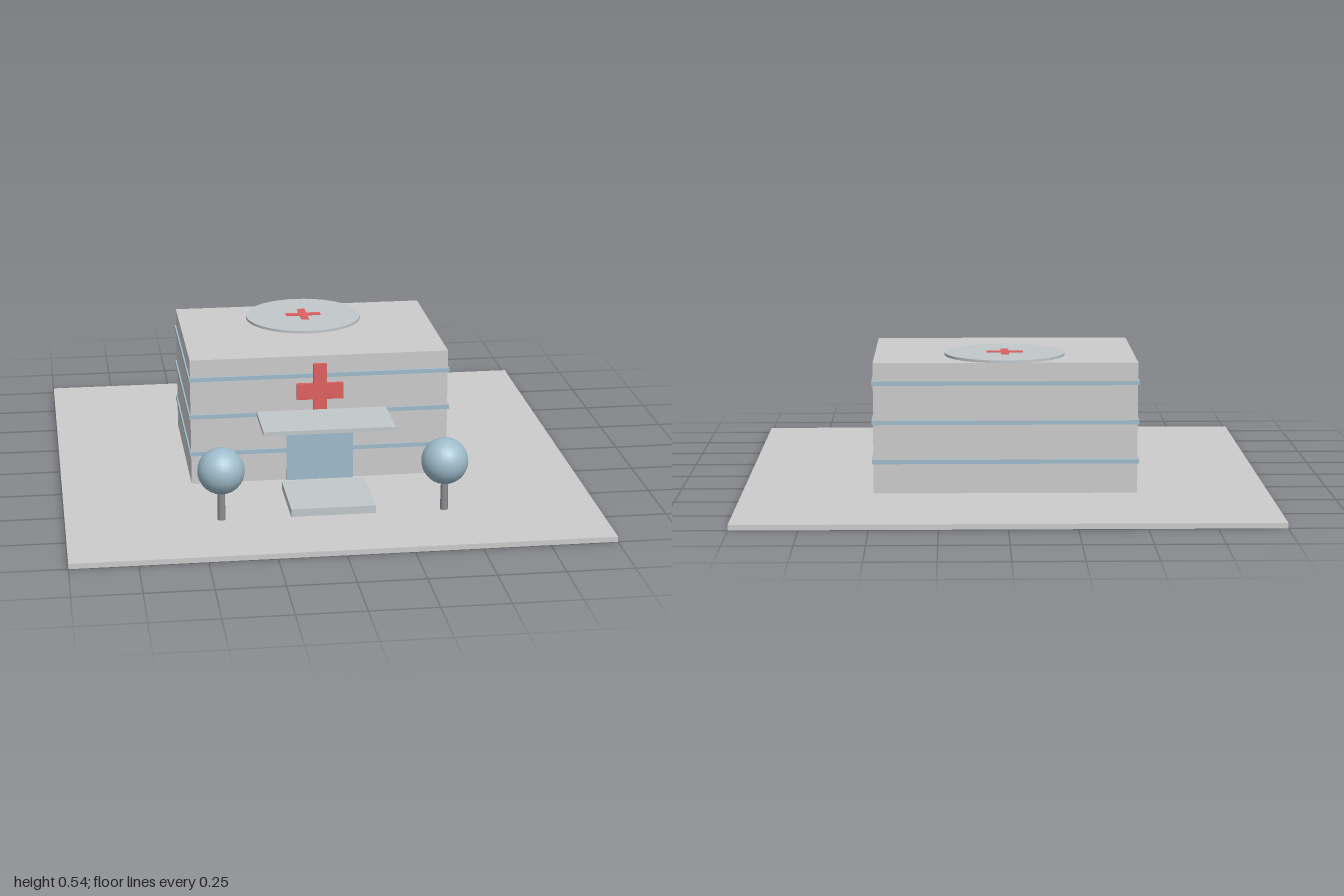
import * as THREE from 'three';

const mat = (color) => new THREE.MeshStandardMaterial({ color });

export function createModel() {
  const model = new THREE.Group();
  const ground = mat(0xcccccc), wall = mat(0xf0f2f3), slab = mat(0xc2c7cb);
  const blue = mat(0x9fbccb), red = mat(0xdf5f5f), bark = mat(0x8a8d90);

  const add = (name, geometry, material, x, y, z, parent = model) => {
    const mesh = new THREE.Mesh(geometry, material);
    mesh.name = name;
    mesh.position.set(x, y, z);
    parent.add(mesh);
    return mesh;
  };
  // Box given by its ranges along each axis
  const box = (name, material, [x0, x1], [y0, y1], [z0, z1]) =>
    add(name, new THREE.BoxGeometry(x1 - x0, y1 - y0, z1 - z0), material,
      (x0 + x1) / 2, (y0 + y1) / 2, (z0 + z1) / 2);

  // Extruded plus sign, facing +z
  const plus = (reach, half, depth) => {
    const a = reach, b = half;
    const shape = new THREE.Shape([
      [b, -a], [b, -b], [a, -b], [a, b], [b, b], [b, a],
      [-b, a], [-b, b], [-a, b], [-a, -b], [-b, -b], [-b, -a],
    ].map(([x, y]) => new THREE.Vector2(x, y)));
    return new THREE.ExtrudeGeometry(shape, { depth, bevelEnabled: false });
  };

  // Site and main block
  box('ground', ground, [-1, 1], [0, 0.02], [-1, 1]);
  box('building', wall, [-0.5, 0.5], [0.02, 0.52], [-0.45, 0.25]);

  // Window bands wrapping each storey
  for (const y of [0.142, 0.292, 0.442]) {
    box('windowBand', blue, [-0.506, 0.506], [y - 0.008, y + 0.008], [-0.456, 0.256]);
  }

  // Entrance
  box('door', blue, [-0.13, 0.13], [0.02, 0.24], [0.24, 0.26]);
  box('canopy', slab, [-0.25, 0.25], [0.305, 0.32], [0.3, 0.54]);
  box('entranceStep', slab, [-0.16, 0.16], [0.02, 0.05], [0.35, 0.65]);
  const sign = add('wallCross', plus(0.09, 0.026, 0.025), red, 0, 0.38, 0.24);
  sign.scale.y = 1.22;

  // Landing pad on the roof
  add('landingPad', new THREE.CylinderGeometry(0.23, 0.23, 0.01, 48), slab, 0, 0.529, -0.26);
  const padCross = add('padCross', plus(0.07, 0.015, 0.005), red, 0, 0.533, -0.26);
  padCross.rotation.x = -Math.PI / 2;

  // Trees either side of the entrance
  for (const side of [-1, 1]) {
    const tree = new THREE.Group();
    tree.name = side > 0 ? 'leftTree' : 'rightTree';
    tree.position.set(side * 0.42, 0.02, 0.64);
    add('trunk', new THREE.CylinderGeometry(0.013, 0.015, 0.13, 12), bark, 0, 0.065, 0, tree);
    add('crown', new THREE.SphereGeometry(0.088, 24, 16), blue, 0, 0.193, 0, tree);
    model.add(tree);
  }
  return model;
}
